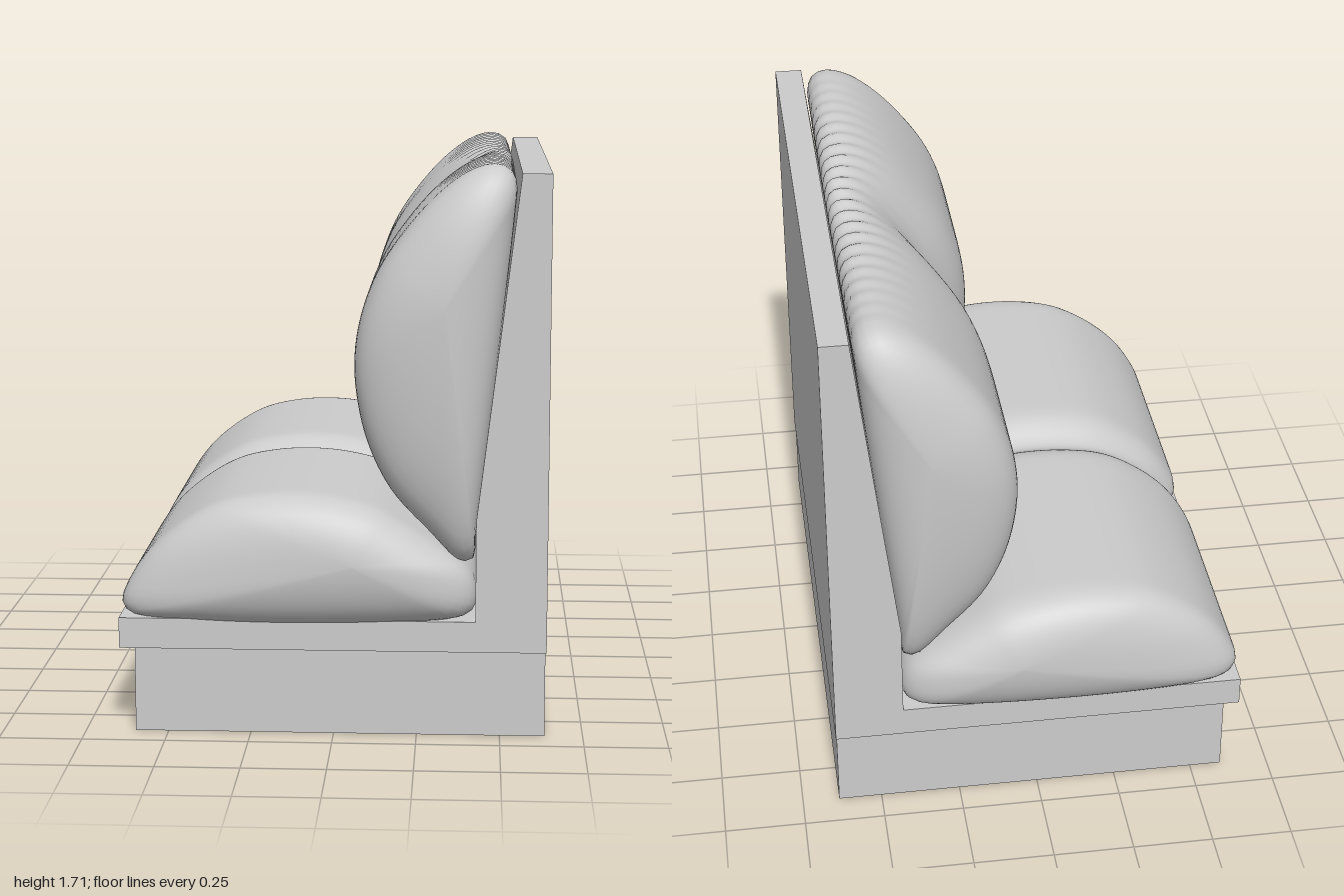
import * as THREE from 'three';

const material = new THREE.MeshStandardMaterial({ color: 0xcccccc });

function addMesh(group, name, geometry) {
  const mesh = new THREE.Mesh(geometry, material);
  mesh.name = name;
  group.add(mesh);
}

// Stations along the cushion: even in the middle, bunched up towards the domed ends
function stations() {
  const list = [];
  for (let i = 0; i <= 160; i++) list.push({ z: -0.8 + i * 0.01, k: 1 });
  for (let i = 1; i <= 16; i++) {
    const u = Math.sin((i / 16) * Math.PI / 2);
    const k = i === 16 ? 0 : Math.pow(1 - Math.pow(u, 3.7), 0.6);
    list.push({ z: 0.8 + 0.2 * u, k });
    list.unshift({ z: -0.8 - 0.2 * u, k });
  }
  return list;
}

// Sweeps a side profile along z, closing it to a dome at each end;
// shape(p, z) moves each profile point for the middle crease and pleats
function cushion(points, centre, shape) {
  const n = 96;
  const curve = new THREE.CatmullRomCurve3(
    points.map(([x, y]) => new THREE.Vector3(x, y, 0)), true, 'centripetal');
  const profile = curve.getSpacedPoints(n).slice(0, n);
  const rings = stations();
  const positions = [];
  const index = [];
  rings.forEach(({ z, k }, i) => {
    profile.forEach((p, j) => {
      const [x, y] = shape(p, z);
      positions.push(centre[0] + (x - centre[0]) * k, centre[1] + (y - centre[1]) * k, z);
      if (i === rings.length - 1) return;
      const a = i * n + j, b = i * n + (j + 1) % n;
      index.push(a, a + n, b, b, a + n, b + n);
    });
  });
  const geometry = new THREE.BufferGeometry();
  geometry.setAttribute('position', new THREE.Float32BufferAttribute(positions, 3));
  geometry.setIndex(index);
  geometry.computeVertexNormals();
  return geometry;
}

const bell = (z, width) => Math.exp(-((z / width) ** 2));

export function createModel() {
  const group = new THREE.Group();
  group.name = 'boothBench';

  // Plinth
  const plinth = new THREE.BoxGeometry(1.235, 0.265, 1.8);
  plinth.translate(0.0175, 0.1325, 0);
  addMesh(group, 'plinth', plinth);

  // L-shaped frame with a leaning backrest board
  const outline = new THREE.Shape([
    [-0.645, 0.262], [0.638, 0.262], [0.638, 1.69], [0.55, 1.69],
    [0.425, 0.66], [0.425, 0.355], [-0.645, 0.355],
  ].map(([x, y]) => new THREE.Vector2(x, y)));
  const frame = new THREE.ExtrudeGeometry(outline, { depth: 1.84, bevelEnabled: false });
  frame.translate(0, 0, -0.92);
  addMesh(group, 'frame', frame);

  // Seat cushion with a narrow crease across the middle
  const seat = [
    [-0.645, 0.39], [-0.62, 0.46], [-0.55, 0.56], [-0.45, 0.645], [-0.35, 0.70],
    [-0.25, 0.725], [-0.13, 0.735], [0, 0.725], [0.12, 0.695], [0.2, 0.65],
    [0.3, 0.585], [0.4, 0.51], [0.425, 0.46], [0.425, 0.39], [0.39, 0.36], [-0.62, 0.357],
  ];
  addMesh(group, 'seatCushion', cushion(seat, [0.06, 0.535], (p, z) => {
    const g = bell(z, 0.075);
    const front = THREE.MathUtils.clamp((-0.3 - p.x) / 0.34, 0, 1);
    return [p.x + 0.04 * g * front, p.y - 0.06 * g * (p.y - 0.357) / 0.38];
  }));

  // Back cushion with a wide crease and small pleats along its top and bottom edges
  const back = [
    [0.47, 1.715], [0.515, 1.70], [0.535, 1.66], [0.53, 1.56], [0.425, 0.62], [0.415, 0.53],
    [0.38, 0.525], [0.28, 0.62], [0.17, 0.74], [0.1, 0.88], [0.065, 1.03], [0.06, 1.15],
    [0.08, 1.27], [0.13, 1.4], [0.21, 1.52], [0.31, 1.63], [0.4, 1.695],
  ];
  addMesh(group, 'backCushion', cushion(back, [0.33, 1.3], (p, z) => {
    const depth = Math.max(0, (0.41 + (p.y - 0.53) * 0.11 - p.x) / 0.42);
    const edge = Math.min(1, (Math.abs(p.y - 1.12) / 0.6) ** 6);
    const pleat = 0.008 * edge * bell(z, 0.55) * Math.cos(z * Math.PI * 2 / 0.075);
    const dip = p.y > 1.3 ? -0.02 * edge * bell(z, 0.55) : 0;
    return [p.x + 0.105 * bell(z, 0.19) * depth + pleat, p.y + dip + pleat];
  }));

  return group;
}
